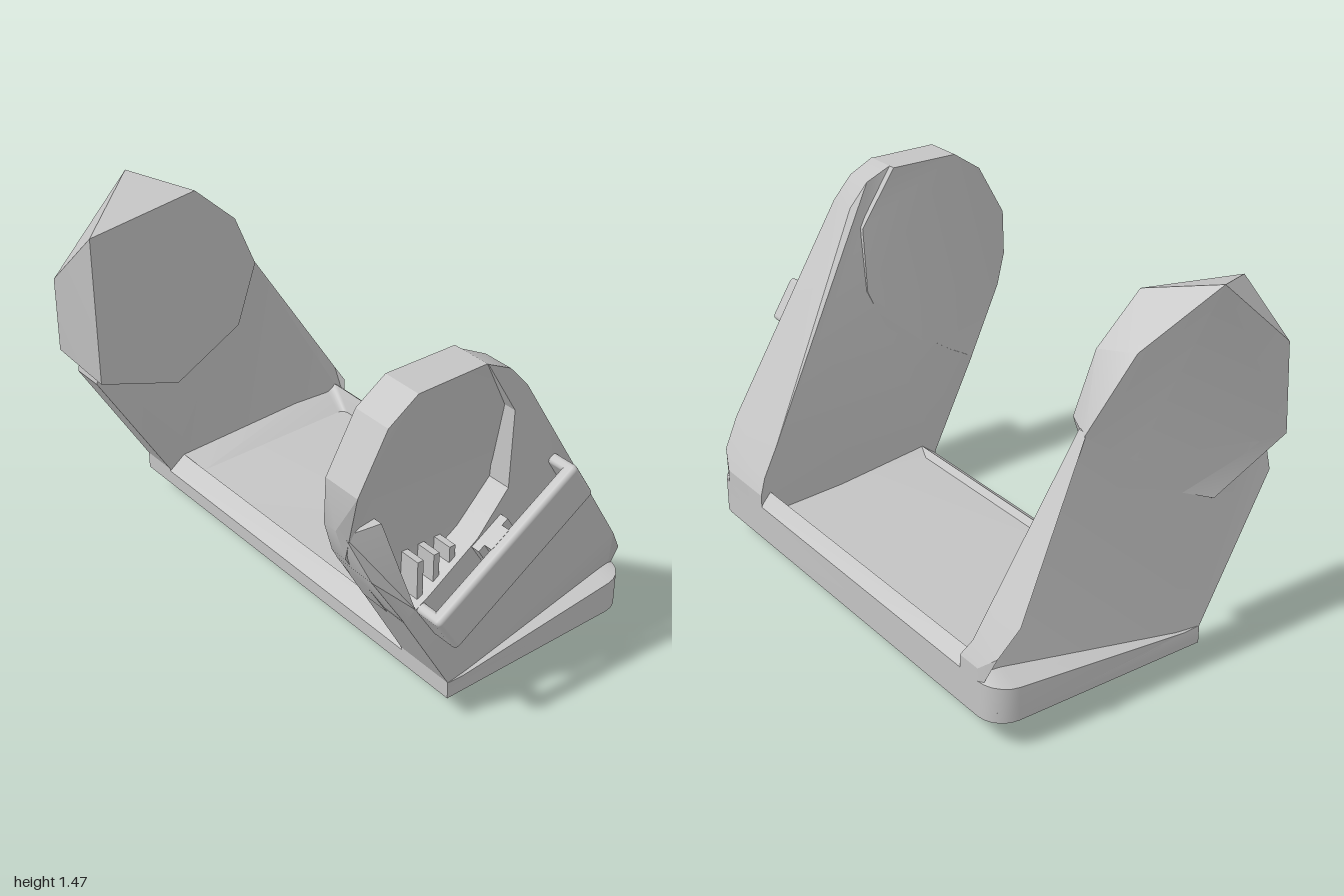
import * as THREE from 'three';
import { toCreasedNormals } from 'three/addons/utils/BufferGeometryUtils.js';
import { RoundedBoxGeometry } from 'three/addons/geometries/RoundedBoxGeometry.js';

// Skins a stack of equal-length rings and caps both ends; project flattens a
// ring as seen from the last ring's side.
function loft(rings, project) {
  const flat = (ring) => ring.map((p) => new THREE.Vector2(...project(p)));
  if (THREE.ShapeUtils.area(flat(rings[0])) < 0) rings = rings.map((r) => [...r].reverse());
  const n = rings[0].length;
  const last = rings.length - 1;
  const pos = [];
  const tri = (a, b, c) => pos.push(...a, ...b, ...c);
  for (let k = 0; k < last; k++) {
    for (let i = 0; i < n; i++) {
      const j = (i + 1) % n;
      const [a, b, c, d] = [rings[k][i], rings[k][j], rings[k + 1][j], rings[k + 1][i]];
      tri(a, b, c);
      tri(a, c, d);
    }
  }
  for (const [k, dir] of [[0, -1], [last, 1]]) {
    const f = flat(rings[k]);
    for (const [a, b, c] of THREE.ShapeUtils.triangulateShape(f, [])) {
      const same = THREE.ShapeUtils.area([f[a], f[b], f[c]]) * dir > 0;
      const r = rings[k];
      if (same) tri(r[a], r[b], r[c]);
      else tri(r[a], r[c], r[b]);
    }
  }
  const g = new THREE.BufferGeometry();
  g.setAttribute('position', new THREE.Float32BufferAttribute(pos, 3));
  return toCreasedNormals(g, 0.45);
}
const sideways = (p) => [-p[2], p[1]];
const upwards = (p) => [p[0], -p[2]];

// Slab from rows of [z, y, lowX, highX]
const slab = (rows) => loft([
  rows.map(([z, y, lo]) => [lo, y, z]),
  rows.map(([z, y, , hi]) => [hi, y, z]),
], sideways);

// Tray outline with square front corners and rounded back corners
function trayRing(x0, x1, z0, z1, r, yBack, yFront) {
  const pts = [[x0, z1], [x1, z1]];
  const steps = 5;
  for (let s = 0; s <= steps; s++) {
    const a = (s / steps) * Math.PI / 2;
    pts.push([x1 - r + r * Math.cos(a), z0 + r - r * Math.sin(a)]);
  }
  for (let s = 0; s <= steps; s++) {
    const a = (s / steps) * Math.PI / 2;
    pts.push([x0 + r - r * Math.sin(a), z0 + r - r * Math.cos(a)]);
  }
  return pts.map(([x, z]) => {
    const t = (z - z0) / (z1 - z0);
    return [x, yBack + (yFront - yBack) * t, z];
  });
}

export function createModel() {
  const model = new THREE.Group();
  const grey = new THREE.MeshStandardMaterial({ color: 0xc4c4c4 });
  grey.name = 'grey plastic';
  const add = (name, geometry, parent = model) => {
    const mesh = new THREE.Mesh(geometry, grey);
    mesh.name = name;
    parent.add(mesh);
    return mesh;
  };

  // Tray: shallow bulged underside, outer wall, raised rim, sunken floor
  add('tray', loft([
    trayRing(-0.3, 0.27, -0.57, 0.12, 0.15, 0.06, 0.06),
    trayRing(-0.5, 0.45, -0.6, 0.16, 0.15, 0.088, 0.088),
    trayRing(-1, 0.89, -0.65, 0.24, 0.1, 0.11, 0.11),
    trayRing(-1, 0.89, -0.65, 0.24, 0.1, 0.25, 0.17),
    trayRing(-0.84, 0.64, -0.6, 0.17, 0.05, 0.295, 0.225),
    trayRing(-0.72, 0.58, -0.58, 0.15, 0.03, 0.21, 0.2),
  ], upwards));

  // Small foot under the right end
  const footRing = (x0, z1, y) => [[x0, y, z1], [-0.65, y, z1], [-0.65, y, -0.12], [x0, y, -0.12]];
  add('foot', loft([footRing(-0.83, -0.02, 0), footRing(-0.88, 0, 0.11)], upwards));

  // Left arm: leaning wedge flush with the tray wall, scooped above the clip
  add('leftArm', slab([
    [0.24, 0.13, 0.64, 0.89],
    [0.24, 0.18, 0.64, 0.89],
    [0.45, 0.55, 0.67, 0.89],
    [0.34, 0.61, 0.67, 0.89],
    [0.13, 0.75, 0.68, 0.89],
    [0.0, 0.9, 0.69, 0.89],
    [-0.01, 1.2, 0.75, 0.89],
    [0.12, 1.42, 0.76, 0.89],
    [0.02, 1.37, 0.77, 0.89],
    [-0.06, 1.28, 0.77, 0.89],
    [-0.55, 0.47, 0.57, 0.89],
    [-0.62, 0.36, 0.55, 0.86],
    [-0.65, 0.3, 0.53, 0.79],
    [-0.65, 0.2, 0.53, 0.79],
    [-0.62, 0.15, 0.53, 0.86],
    [-0.55, 0.13, 0.55, 0.89],
  ]));

  // Left cup: tilted disc whose outer face sinks toward the bottom
  add('leftCup', slab([
    [0.41, 1.42, 0.73, 0.89],
    [0.53, 1.34, 0.73, 0.89],
    [0.65, 1.13, 0.73, 0.89],
    [0.65, 0.95, 0.72, 0.78],
    [0.61, 0.82, 0.71, 0.78],
    [0.44, 0.53, 0.67, 0.79],
    [0.28, 0.6, 0.67, 0.78],
    [0.05, 0.74, 0.68, 0.78],
    [-0.04, 0.95, 0.69, 0.8],
    [-0.03, 1.2, 0.73, 0.84],
    [0.12, 1.42, 0.73, 0.885],
  ]));

  // Bevelled block on the front edge below the cup
  add('leftArmLip', slab([
    [0.43, 0.52, 0.69, 0.89],
    [0.59, 0.78, 0.71, 0.89],
    [0.63, 0.93, 0.73, 0.8],
    [0.51, 0.95, 0.73, 0.84],
    [0.4, 0.58, 0.7, 0.89],
  ]));

  // Short ribs at the foot of the scoop
  for (const z of [0.22, 0.29, 0.36]) {
    add('rib', new THREE.BoxGeometry(0.09, 0.15, 0.025)).position.set(0.82, 0.67, z);
  }

  // Clip: tilted bar standing on two ends and a middle block
  const clip = new THREE.Group();
  clip.name = 'clip';
  clip.position.set(0, 0.69, 0.045);
  clip.rotation.x = 0.557;
  model.add(clip);
  add('clipBar', new RoundedBoxGeometry(0.05, 0.18, 0.72, 3, 0.018), clip).position.x = 0.973;
  for (const side of [-1, 1]) {
    add('clipEnd', new RoundedBoxGeometry(0.12, 0.18, 0.04, 3, 0.015), clip)
      .position.set(0.935, 0, side * 0.34);
  }
  add('clipMiddle', new THREE.BoxGeometry(0.04, 0.18, 0.09), clip).position.x = 0.94;
  add('clipMiddleBase', new THREE.BoxGeometry(0.04, 0.18, 0.15), clip).position.x = 0.905;

  // Right arm: thinner leaning plate, its back edge tapering upward
  add('rightArm', slab([
    [0.24, 0.13, -1, -0.84],
    [0.24, 0.18, -1, -0.84],
    [0.55, 0.7, -0.98, -0.84],
    [0.5, 1.0, -0.95, -0.84],
    [0.1, 1.1, -0.92, -0.84],
    [-0.2, 1.02, -0.88, -0.84],
    [-0.55, 0.47, -1, -0.84],
    [-0.62, 0.36, -0.97, -0.83],
    [-0.65, 0.3, -0.9, -0.8],
    [-0.65, 0.2, -0.9, -0.8],
    [-0.62, 0.15, -0.97, -0.8],
    [-0.55, 0.13, -1, -0.82],
  ]));

  // Right cup: faceted head, wide outer outline to a flat inner disc
  const outer = [
    [-1, 1.47, 0.26], [-0.94, 1.15, 0.64], [-0.98, 0.82, 0.62], [-0.97, 0.66, 0.3],
    [-0.9, 0.8, -0.05], [-0.88, 1.01, -0.21], [-0.93, 1.28, -0.04],
  ];
  const inner = [
    [-0.77, 1.42, 0.1], [-0.77, 1.36, 0.57], [-0.77, 0.74, 0.57], [-0.77, 0.62, 0.22],
    [-0.77, 0.78, -0.08], [-0.77, 1.03, -0.17], [-0.77, 1.25, -0.08],
  ];
  add('rightCup', loft([outer, inner], sideways));

  return model;
}
